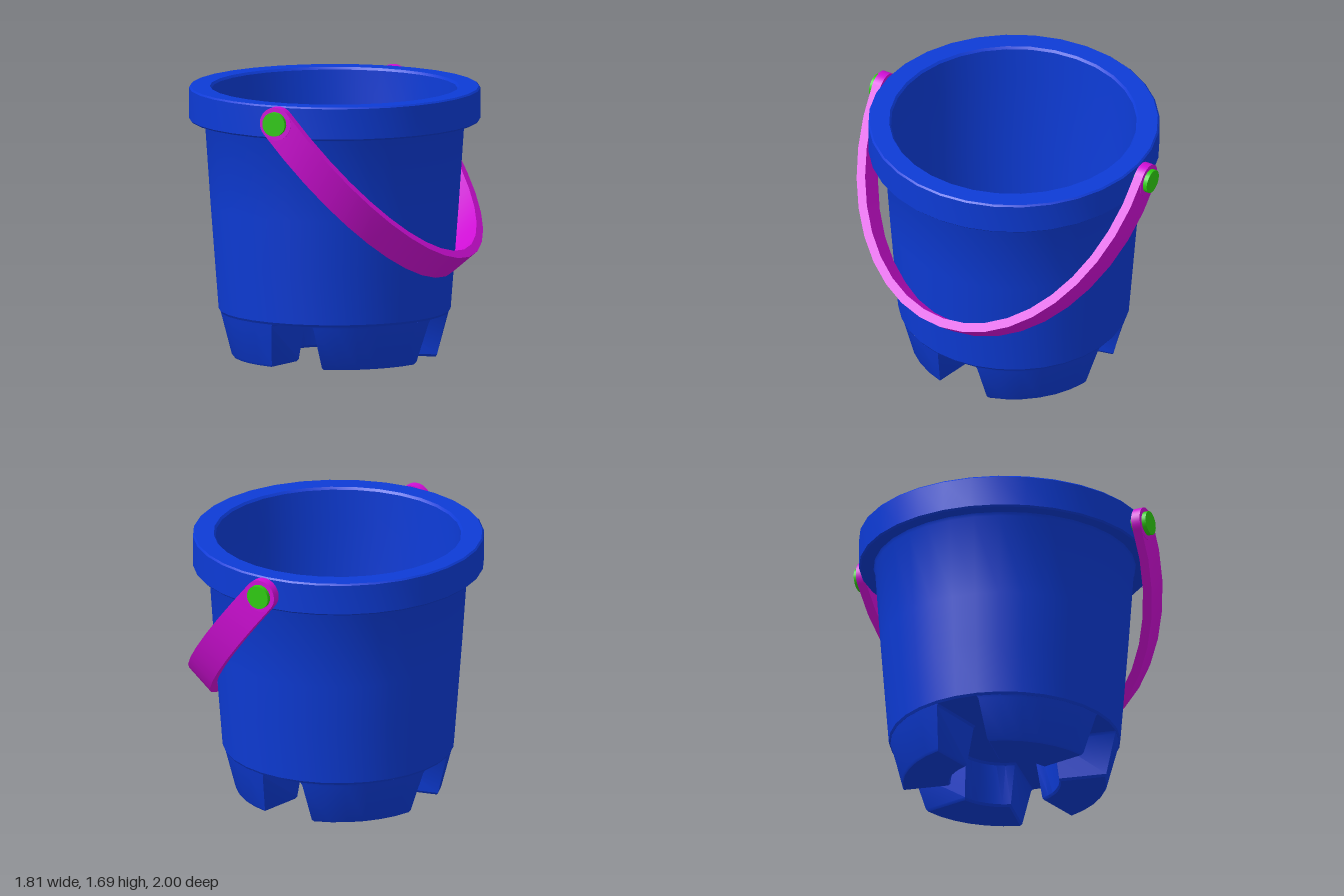
import * as THREE from 'three';
import { toCreasedNormals, mergeGeometries } from 'three/addons/utils/BufferGeometryUtils.js';

const blue = new THREE.MeshStandardMaterial({ color: 0x0d3bd6 });
const magenta = new THREE.MeshStandardMaterial({ color: 0xd00fd6 });
const green = new THREE.MeshStandardMaterial({ color: 0x2fcc12 });

const V2 = (x, y) => new THREE.Vector2(x, y);

function add(parent, name, geometry, material) {
  const mesh = new THREE.Mesh(geometry, material);
  mesh.name = name;
  parent.add(mesh);
  return mesh;
}

// Outline of one foot: a ring sector whose sides keep a distance a + b*r from the axes.
function outline(k, { rIn, rOut, a, b }) {
  const pts = [], n = 6;
  const arc = (r, flip) => {
    const start = Math.asin((a + b * r) / r), span = Math.PI / 2 - 2 * start;
    for (let i = 0; i <= n; i++) {
      const t = start + span * (flip ? n - i : i) / n + k * Math.PI / 2;
      pts.push(V2(r * Math.cos(t), r * Math.sin(t)));
    }
  };
  arc(rOut, false);
  arc(rIn, true);
  return pts;
}

const outlines = (level) => [0, 1, 2, 3].map((k) => outline(k, level));

// Side walls through a stack of outlines, listed from the top down.
function loft(k, levels, inward) {
  const rings = levels.map((l) => outline(k, l)), n = rings[0].length;
  const pos = [], index = [];
  rings.forEach((ring, i) => ring.forEach((p) => pos.push(p.x, levels[i].y, p.y)));
  for (let i = 0; i < rings.length - 1; i++) {
    for (let j = 0; j < n; j++) {
      const a = i * n + j, b = i * n + (j + 1) % n, c = a + n, d = b + n;
      if (inward) index.push(a, c, b, b, c, d);
      else index.push(a, b, c, b, d, c);
    }
  }
  const g = new THREE.BufferGeometry();
  g.setAttribute('position', new THREE.Float32BufferAttribute(pos, 3));
  g.setIndex(index);
  return toCreasedNormals(g, 0.45);
}

// Flat horizontal faces at height y, facing up or down.
function plate(shapes, y, up) {
  return new THREE.ShapeGeometry(shapes, 32).rotateX(up ? -Math.PI / 2 : Math.PI / 2).translate(0, y, 0);
}

// Disc with the four foot outlines cut out.
function disc(radius, level) {
  const rim = [];
  for (let i = 0; i < 32; i++) rim.push(V2(radius * Math.cos(i * Math.PI / 16), radius * Math.sin(i * Math.PI / 16)));
  const s = new THREE.Shape(rim);
  s.holes = outlines(level).map((o) => new THREE.Path(o));
  return s;
}

function addBucket(root) {
  // Outer wall, rim and inner wall as one profile
  const profile = [
    [0.71, 0.28], [0.72, 0.295], [0.745, 0.62], [0.77, 0.95], [0.805, 1.46], [0.815, 1.48],
    [0.895, 1.48], [0.905, 1.49], [0.905, 1.68], [0.895, 1.69],
    [0.775, 1.69], [0.763, 1.675], [0.755, 1.45], [0.725, 0.95], [0.675, 0.34], [0.655, 0.315],
  ].map(([x, y]) => V2(x, y));
  add(root, 'bucketWall', toCreasedNormals(new THREE.LatheGeometry(profile, 32), 0.5), blue);

  // Tapered feet outside, hollow pockets inside
  const foot = [
    { y: 0.28, rIn: 0.30, rOut: 0.71, a: 0.008, b: 0.175 },
    { y: 0.265, rIn: 0.31, rOut: 0.705, a: 0.018, b: 0.175 },
    { y: 0.015, rIn: 0.34, rOut: 0.64, a: 0.040, b: 0.2 },
    { y: 0, rIn: 0.35, rOut: 0.63, a: 0.050, b: 0.2 },
  ];
  const pocket = [
    { y: 0.315, rIn: 0.355, rOut: 0.65, a: 0.04, b: 0.17 },
    { y: 0.04, rIn: 0.38, rOut: 0.60, a: 0.075, b: 0.19 },
  ];
  for (let k = 0; k < 4; k++) {
    add(root, 'foot', loft(k, foot, false), blue);
    add(root, 'footPocket', loft(k, pocket, true), blue);
  }
  const shapes = (level) => outlines(level).map((o) => new THREE.Shape(o));
  add(root, 'footSoles', plate(shapes(foot[3]), 0, false), blue);
  add(root, 'pocketFloors', plate(shapes(pocket[1]), 0.04, true), blue);

  // Raised floor and its underside
  add(root, 'floor', plate(disc(0.655, pocket[0]), 0.315, true), blue);
  add(root, 'underside', plate(disc(0.712, foot[0]), 0.28, false), blue);
}

function addHandle(root) {
  const handle = new THREE.Group();
  handle.name = 'handle';
  handle.position.y = 1.587;
  handle.rotation.z = THREE.MathUtils.degToRad(40);
  root.add(handle);

  // Half-elliptical strap
  const outer = [], inner = [], n = 20, width = 0.206;
  for (let i = 0; i <= n; i++) {
    const t = Math.PI + Math.PI * i / n;
    outer.push(V2(0.972 * Math.cos(t), 1.285 * Math.sin(t)));
    inner.unshift(V2(0.914 * Math.cos(t), 1.228 * Math.sin(t)));
  }
  const strap = new THREE.ExtrudeGeometry(new THREE.Shape([...outer, ...inner]), { depth: width, bevelEnabled: false });
  strap.translate(0, 0, -width / 2).rotateY(-Math.PI / 2);
  add(handle, 'handleStrap', toCreasedNormals(strap, 0.5), magenta);

  // Rounded strap ends and the pivot pins
  for (const side of [-1, 1]) {
    const end = new THREE.CylinderGeometry(width / 2, width / 2, 0.058, 20, 1, false, Math.PI / 2, Math.PI);
    const whole = mergeGeometries([end, end.clone().rotateY(Math.PI)]);
    add(handle, 'handleEnd', whole.rotateX(Math.PI / 2).translate(0, 0, side * 0.943), magenta);
    const pin = new THREE.CylinderGeometry(0.075, 0.075, 0.13, 24).rotateX(Math.PI / 2);
    add(handle, 'pivotPin', pin.translate(0, 0, side * 0.935), green);
  }
}

export function createModel() {
  const root = new THREE.Group();
  root.name = 'bucket';
  addBucket(root);
  addHandle(root);
  return root;
}
